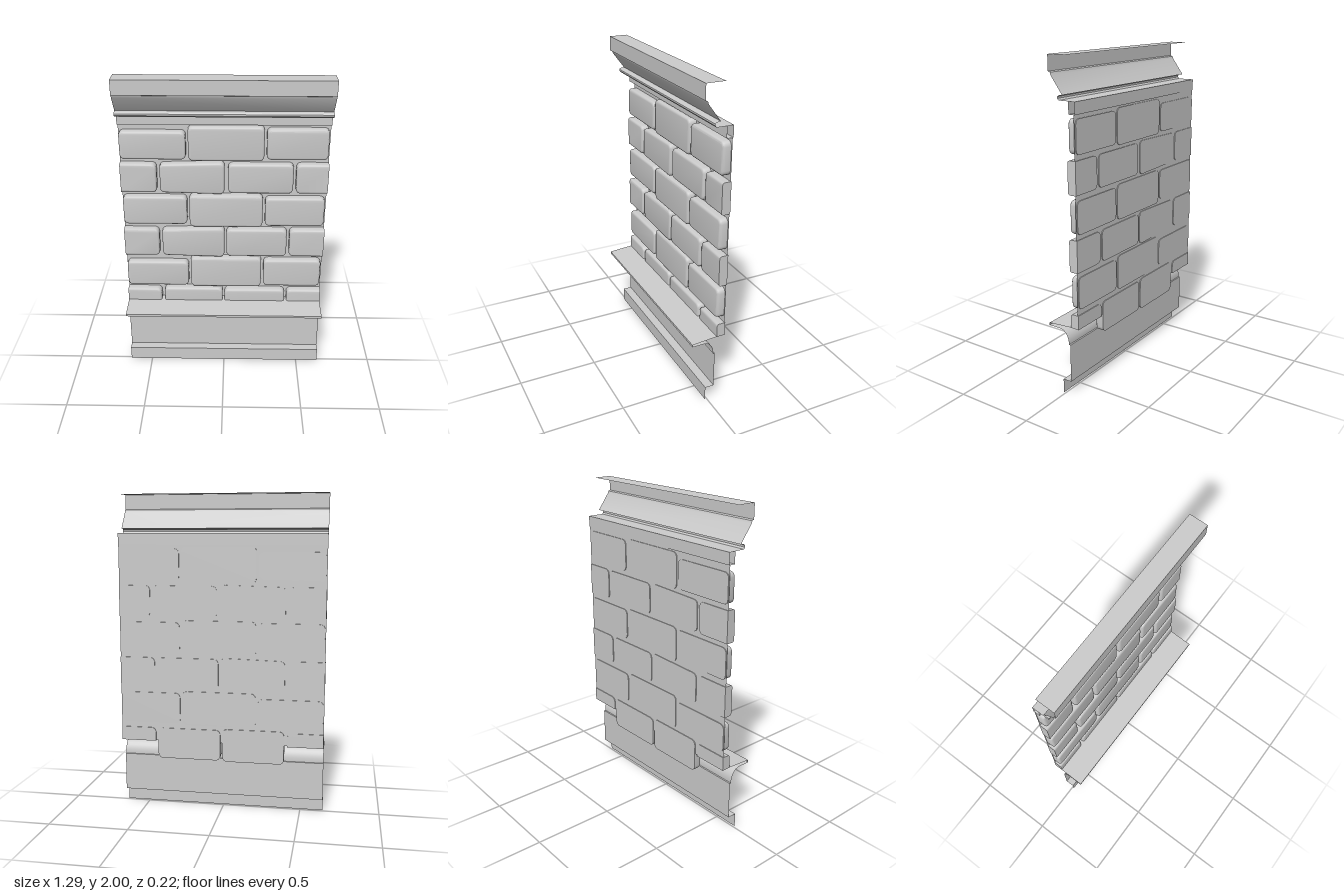
import * as THREE from 'three';
import { toCreasedNormals } from 'three/addons/utils/BufferGeometryUtils.js';

const HALF = 0.645;                       // half width of the panel
const BACK = -0.11, FRONT = -0.055;       // depth range of the bricks
const material = new THREE.MeshStandardMaterial({ color: 0xcccccc, side: THREE.DoubleSide });

// Thin moulding: a [z, y] profile, listed from top to bottom, swept along x
function moulding(name, profile) {
  const pos = [];
  for (let i = 0; i < profile.length - 1; i++) {
    const [z0, y0] = profile[i], [z1, y1] = profile[i + 1];
    const a = [-HALF, y0, z0], b = [-HALF, y1, z1], c = [HALF, y1, z1], d = [HALF, y0, z0];
    pos.push(...a, ...b, ...c, ...a, ...c, ...d);
  }
  const geo = new THREE.BufferGeometry();
  geo.setAttribute('position', new THREE.Float32BufferAttribute(pos, 3));
  const mesh = new THREE.Mesh(toCreasedNormals(geo, 0.5), material);
  mesh.name = name;
  return mesh;
}

// Brick with softened front edges and flat back; cut off at the panel's sides and at minY
function brick(x0, x1, y0, y1, flare = 0, minY = 0) {
  const bevel = 0.014, r = 0.018;
  const l = x0 + bevel, rt = x1 - bevel, b = y0 + bevel, t = y1 - bevel;
  const s = new THREE.Shape();
  s.moveTo(l + r, b);
  s.lineTo(rt - r, b);
  s.quadraticCurveTo(rt, b, rt, b + r);
  s.lineTo(rt, t - r);
  s.quadraticCurveTo(rt, t, rt - r, t);
  s.lineTo(l + r, t);
  s.quadraticCurveTo(l, t, l, t - r);
  s.lineTo(l, b + r);
  s.quadraticCurveTo(l, b, l + r, b);
  const geo = new THREE.ExtrudeGeometry(s, {
    depth: FRONT - BACK - bevel, bevelThickness: bevel, bevelSize: bevel,
    bevelSegments: 3, curveSegments: 4,
  });
  const p = geo.attributes.position, midY = (y0 + y1) / 2;
  for (let i = 0; i < p.count; i++) {
    const u = (p.getX(i) - x0) / (x1 - x0);
    const y = midY + (p.getY(i) - midY) * (1 - flare * (1 - u));
    p.setXYZ(i,
      THREE.MathUtils.clamp(p.getX(i), -HALF, HALF),
      Math.max(y, minY),
      Math.max(p.getZ(i), 0) + BACK);
  }
  const mesh = new THREE.Mesh(toCreasedNormals(geo, 0.6), material);
  mesh.name = 'brick';
  return mesh;
}

export function createModel() {
  const group = new THREE.Group();
  group.name = 'brickWallPanel';

  // Mortar sheet behind the bricks
  group.add(moulding('mortar', [[-0.105, 1.69], [-0.105, 0.45]]));

  // Cornice: fascia, sloping soffit, small bead and boxed frieze
  group.add(moulding('cornice', [
    [-0.053, 2], [0.063, 2], [0.063, 1.91], [0.05, 1.905], [0.045, 1.89],
    [-0.03, 1.79], [-0.005, 1.787], [0.003, 1.78], [0.003, 1.77], [-0.005, 1.76],
    [-0.07, 1.76], [-0.07, 1.69], [BACK, 1.69], [BACK, 1.76], [-0.07, 1.76],
  ]));

  // Base: sloping ledge, cove, flat panel and plinth
  const cove = [];
  for (let i = 0; i <= 8; i++) {
    const a = (i / 8) * Math.PI / 2;
    cove.push([0.03 - 0.065 * Math.sin(a), 0.34 + 0.08 * Math.cos(a)]);
  }
  group.add(moulding('base', [
    [-0.105, 0.45], [0.108, 0.435], [0.108, 0.42], ...cove,
    [-0.035, 0.33], [-0.045, 0.33], [-0.045, 0.09], [0.012, 0.09], [0.012, 0],
  ]));

  const bricks = new THREE.Group();
  bricks.name = 'bricks';
  // Courses of three bricks
  for (const y of [1.46, 1.005, 0.555]) {
    const low = y === 1.005 ? 0.03 : 0;
    bricks.add(
      brick(-0.64, -0.235, y + 0.008 + low / 3, y + 0.188 + low * 0.8),
      brick(-0.22, 0.245, y, y + 0.22),
      brick(0.26, 0.635, y + 0.01, y + 0.207));
  }
  // Courses of two full bricks between two cut ones
  for (const [y, x0, x1] of [[1.24, 0.025, 0.43], [0.787, 0.015, 0.405]]) {
    bricks.add(
      brick(-0.72, -0.42, y + 0.005, y + 0.198),
      brick(-0.4, 0.002, y - 0.004, y + 0.208, 0.1),
      brick(x0, x1, y + 0.004, y + 0.2),
      brick(x1 + 0.017, 0.72, y + 0.005, y + 0.2));
  }
  // Lowest course, running down behind the ledge
  bricks.add(
    brick(-0.72, -0.42, 0.33, 0.532, 0, 0.445),
    brick(-0.4, -0.01, 0.33, 0.54),
    brick(0.003, 0.405, 0.335, 0.532),
    brick(0.42, 0.72, 0.335, 0.532, 0, 0.445));
  group.add(bricks);
  return group;
}
